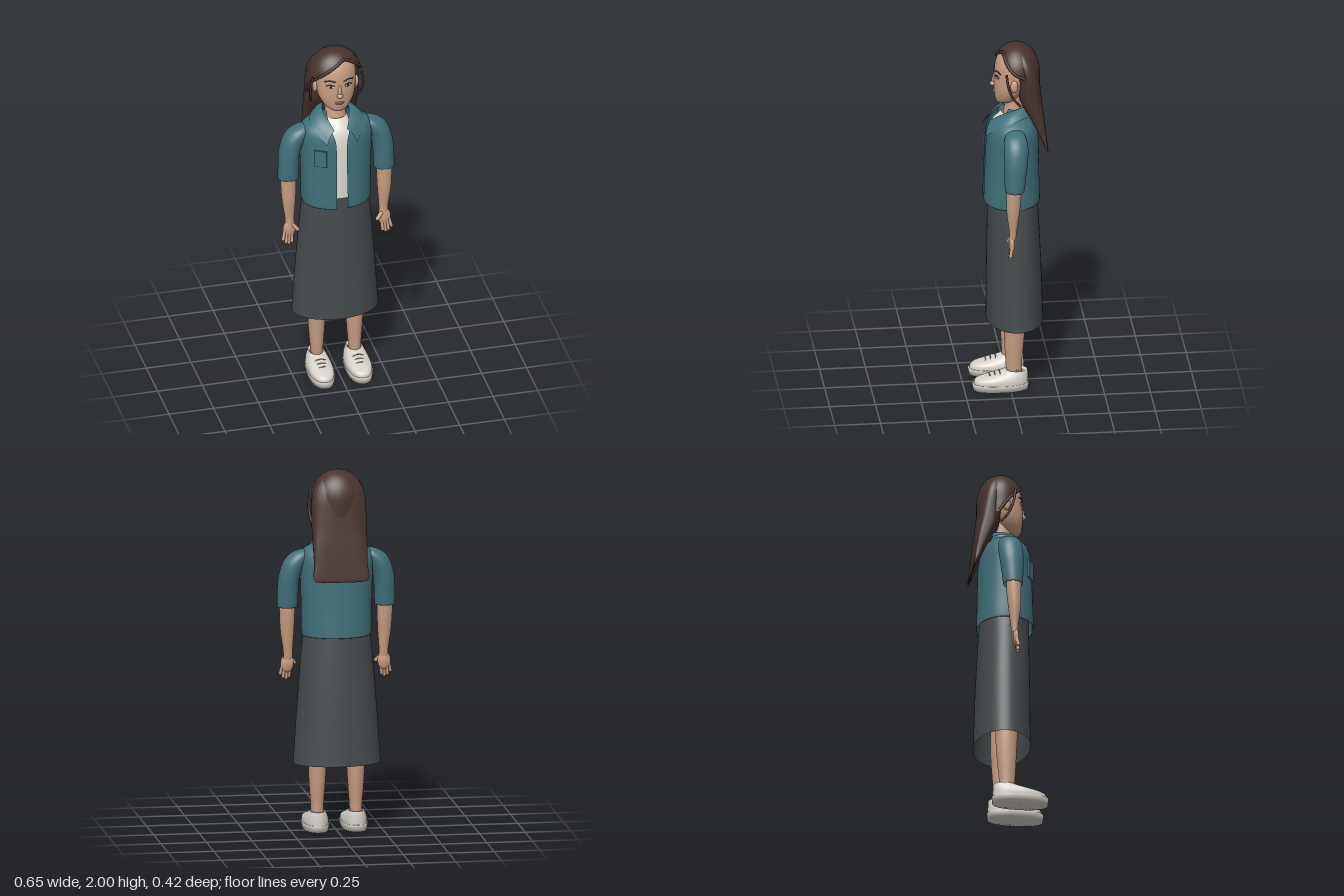
import * as THREE from 'three';

const mat = (name, color) => {
  const m = new THREE.MeshStandardMaterial({ color, side: THREE.DoubleSide });
  m.name = name;
  return m;
};
const V = (x, y, z) => new THREE.Vector3(x, y, z);
const spow = (v, p) => Math.sign(v) * Math.abs(v) ** p;

// Grid of points -> smooth surface; closed grids wrap around
function grid(rows, closed) {
  const w = rows[0].length, pos = [], idx = [];
  rows.forEach(r => r.forEach(p => pos.push(p.x, p.y, p.z)));
  for (let i = 0; i < rows.length - 1; i++)
    for (let j = 0; j < (closed ? w : w - 1); j++) {
      const a = i * w + j, b = i * w + (j + 1) % w;
      idx.push(a, b, a + w, b, b + w, a + w);
    }
  const g = new THREE.BufferGeometry();
  g.setAttribute('position', new THREE.Float32BufferAttribute(pos, 3));
  g.setIndex(idx);
  g.computeVertexNormals();
  return g;
}

// Catmull-Rom refinement of section rows
function refine(rows, k) {
  const out = [];
  for (let i = 0; i < rows.length - 1; i++)
    for (let s = 0; s < k; s++) {
      const t = s / k, a = rows[Math.max(i - 1, 0)], b = rows[i], c = rows[i + 1], d = rows[Math.min(i + 2, rows.length - 1)];
      out.push(b.map((v, q) => v + 0.5 * t * (c[q] - a[q] + t * (2 * a[q] - 5 * v + 4 * c[q] - d[q] + t * (3 * (v - c[q]) + d[q] - a[q])))));
    }
  out.push(rows[rows.length - 1]);
  return out;
}

// Sections, bottom to top: [y, centre x, half width, front z, back z, roundness, front gap]
function loft(rows, n = 40, k = 4) {
  const open = rows[0].length > 6;
  return grid(refine(rows, k).map(([y, cx, rx, zf, zb, p = 1, gap = 0]) => {
    const g = open ? Math.asin(Math.min(gap / rx, 0.95)) : 0;
    return Array.from({ length: open ? n + 1 : n }, (_, j) => {
      const t = g + (2 * Math.PI - 2 * g) * j / n;
      return V(cx + rx * spow(Math.sin(t), p), y, (zf + zb) / 2 + (zf - zb) / 2 * spow(Math.cos(t), p));
    });
  }), !open);
}

export function createModel() {
  const root = new THREE.Group();
  root.name = 'woman';
  const skin = mat('skin', 0xc79c80), hair = mat('hair', 0x46332d), teal = mat('jacket teal', 0x40707a);
  const grey = mat('skirt grey', 0x464b4d), white = mat('shirt white', 0xdedad2), shoeMat = mat('shoe white', 0xd6d2ca);
  const dark = mat('dark brown', 0x2a1f1c), eyeWhite = mat('eye white', 0xd8d0c8), lip = mat('lip', 0xb08070);
  const lace = mat('lace grey', 0x8c8a86);

  const add = (name, geo, m, parent = root) => {
    const mesh = new THREE.Mesh(geo, m);
    mesh.name = name;
    parent.add(mesh);
    return mesh;
  };
  const blob = (name, m, c, r, parent) => {
    const b = add(name, new THREE.SphereGeometry(1, 20, 14), m, parent);
    b.position.set(...c);
    b.scale.set(...r);
    return b;
  };
  const tube = (name, m, pts, r, parent) =>
    add(name, new THREE.TubeGeometry(new THREE.CatmullRomCurve3(pts), 32, r, 8), m, parent);
  const limb = (name, m, a, b, r, parent) => {
    const d = b.clone().sub(a);
    const c = add(name, new THREE.CapsuleGeometry(r, d.length(), 5, 10), m, parent);
    c.position.copy(a).add(b).multiplyScalar(0.5);
    c.quaternion.setFromUnitVectors(V(0, 1, 0), d.normalize());
  };

  // Clothes on the torso
  add('skirt', loft([[0.38, 0, 0.24, 0.12, -0.19], [0.7, 0, 0.218, 0.117, -0.18], [1.0, 0, 0.194, 0.113, -0.165], [1.14, 0, 0.178, 0.112, -0.155]], 56), grey);
  add('shirt', loft([[1.13, 0, 0.165, 0.107, -0.14], [1.3, 0, 0.17, 0.11, -0.14], [1.45, 0, 0.16, 0.108, -0.13],
    [1.53, 0, 0.13, 0.092, -0.12], [1.57, 0, 0.085, 0.065, -0.1], [1.6, 0, 0.062, 0.035, -0.09]]), white);
  add('jacket', loft([[1.09, 0, 0.184, 0.132, -0.168, 0.92, 0.028], [1.1, 0, 0.19, 0.137, -0.172, 0.92, 0.027], [1.25, 0, 0.192, 0.132, -0.168, 0.92, 0.024],
    [1.42, 0, 0.197, 0.125, -0.165, 0.92, 0.024], [1.5, 0, 0.2, 0.118, -0.158, 0.92, 0.028], [1.55, 0, 0.188, 0.1, -0.14, 0.95, 0.045],
    [1.585, 0, 0.14, 0.075, -0.12, 1, 0.055], [1.605, 0, 0.085, 0.04, -0.105, 1, 0.055], [1.635, 0, 0.072, 0.025, -0.095, 1, 0.055]], 64), teal);
  const pocket = add('pocket', new THREE.BoxGeometry(0.07, 0.1, 0.009), teal);
  pocket.position.set(-0.115, 1.4, 0.107);
  pocket.rotation.y = -0.5;

  // Folded collar: a strip between the neck fold and the outer edge
  const half = [[[0, 1.645, -0.1], [0.055, 1.642, -0.075], [0.073, 1.63, -0.02], [0.06, 1.605, 0.04], [0.035, 1.565, 0.1]],
    [[0, 1.595, -0.14], [0.095, 1.6, -0.105], [0.145, 1.59, -0.02], [0.14, 1.56, 0.05], [0.085, 1.492, 0.133]]];
  const [fold, edge] = half.map(h => new THREE.CatmullRomCurve3(
    [...h.slice(1).reverse().map(([x, y, z]) => V(-x, y, z)), ...h.map(p => V(...p))]).getPoints(48));
  add('collar', grid([0, 0.25, 0.5, 0.75, 1].map(s => edge.map((p, i) => {
    const q = p.clone().lerp(fold[i], s);
    q.y += 0.012 * Math.sin(Math.PI * s);
    return q;
  })), false), teal);

  // Arms and legs, mirrored
  for (const s of [1, -1]) {
    const side = new THREE.Group();
    side.name = s > 0 ? 'leftLimbs' : 'rightLimbs';
    root.add(side);
    const mx = rows => rows.map(([y, x, ...r]) => [y, s * x, ...r]);
    const P = (x, y, z) => V(s * x, y, z);
    add('sleeve', loft(mx([[1.24, 0.268, 0.054, 0.042, -0.058], [1.25, 0.268, 0.057, 0.045, -0.062], [1.32, 0.266, 0.057, 0.049, -0.07], [1.4, 0.26, 0.058, 0.05, -0.08],
      [1.48, 0.235, 0.062, 0.048, -0.085], [1.53, 0.2, 0.06, 0.036, -0.075], [1.555, 0.18, 0.03, 0.01, -0.05], [1.56, 0.175, 0.001, -0.02, -0.021]])), teal, side);
    add('arm', loft(mx([[0.95, 0.262, 0.026, 0.022, -0.014], [1.0, 0.263, 0.026, 0.022, -0.02], [1.1, 0.267, 0.037, 0.035, -0.033],
      [1.2, 0.268, 0.042, 0.037, -0.043], [1.3, 0.268, 0.043, 0.037, -0.045]]), 28), skin, side);
    blob('palm', skin, [s * 0.266, 0.925, 0.008], [0.036, 0.05, 0.016], side);
    [[0.29, 0.302, 0.868], [0.278, 0.286, 0.85], [0.264, 0.27, 0.843], [0.25, 0.254, 0.852]].forEach(([a, b, y]) =>
      limb('finger', skin, P(a, 0.92, 0.008), P(b, y, 0.018), 0.0095, side));
    limb('thumb', skin, P(0.25, 0.955, 0.012), P(0.224, 0.925, 0.024), 0.011, side);

    add('leg', loft(mx([[0.08, 0.106, 0.034, 0.02, -0.065], [0.14, 0.106, 0.035, 0.024, -0.064], [0.25, 0.106, 0.043, 0.03, -0.074],
      [0.38, 0.105, 0.05, 0.036, -0.082], [0.6, 0.102, 0.056, 0.05, -0.085], [0.95, 0.098, 0.07, 0.07, -0.1]]), 28), skin, side);
    add('shoe', loft(mx([[0.03, 0.106, 0.068, 0.198, -0.098, 0.85], [0.05, 0.106, 0.069, 0.196, -0.098, 0.85], [0.065, 0.106, 0.067, 0.18, -0.098, 0.85],
      [0.082, 0.106, 0.06, 0.125, -0.097, 0.85], [0.1, 0.106, 0.05, 0.06, -0.096, 0.9], [0.112, 0.106, 0.043, 0.026, -0.092, 1], [0.106, 0.106, 0.034, 0.015, -0.07, 1]])), shoeMat, side);
    add('sole', loft(mx([[0, 0.106, 0.001, 0.05, 0.049, 0.85], [0, 0.106, 0.068, 0.203, -0.1, 0.85], [0.036, 0.106, 0.073, 0.208, -0.103, 0.85], [0.038, 0.106, 0.065, 0.195, -0.095, 0.85]]), 40, 1), shoeMat, side);
    add('sock', new THREE.CylinderGeometry(0.037, 0.038, 0.02, 24), lace, side).position.set(s * 0.106, 0.107, -0.022);
    for (let i = 0; i < 3; i++) {
      const z = 0.058 + i * 0.027;
      tube('lace', lace, [-0.034, -0.017, 0, 0.017, 0.034].map(x => P(0.106 + x, 0.104 - i * 0.0085 - 9 * x * x, z)), 0.003, side);
    }
  }

  // Head and face
  const head = new THREE.Group();
  head.name = 'head';
  root.add(head);
  add('neck', loft([[1.53, 0, 0.075, 0.03, -0.09], [1.59, 0, 0.06, 0.027, -0.085], [1.65, 0, 0.054, 0.015, -0.085], [1.74, 0, 0.056, 0.01, -0.09]]), skin, head);
  add('face', loft([[1.654, 0, 0.001, 0.031, 0.03], [1.658, 0, 0.028, 0.056, 0], [1.67, 0, 0.052, 0.067, -0.035], [1.695, 0, 0.076, 0.073, -0.06], [1.735, 0, 0.097, 0.077, -0.09],
    [1.78, 0, 0.108, 0.078, -0.12], [1.83, 0, 0.112, 0.075, -0.135], [1.88, 0, 0.111, 0.071, -0.135], [1.93, 0, 0.095, 0.054, -0.12], [1.97, 0, 0.055, 0.015, -0.08], [1.98, 0, 0.001, -0.03, -0.031]]), skin, head);
  blob('nose', skin, [0, 1.768, 0.08], [0.017, 0.014, 0.02], head);
  blob('noseBridge', skin, [0, 1.795, 0.074], [0.011, 0.036, 0.014], head).rotation.x = -0.15;
  blob('upperLip', lip, [0, 1.723, 0.074], [0.026, 0.005, 0.009], head);
  blob('lowerLip', lip, [0, 1.714, 0.073], [0.022, 0.006, 0.009], head);
  for (const s of [1, -1]) {
    blob('eyeWhite', eyeWhite, [s * 0.049, 1.823, 0.065], [0.02, 0.009, 0.005], head).rotation.y = s * 0.35;
    blob('iris', dark, [s * 0.048, 1.823, 0.068], [0.0085, 0.0085, 0.004], head).rotation.y = s * 0.35;
    tube('lashLine', dark, [P3(s, 0.028, 1.825, 0.073), P3(s, 0.048, 1.833, 0.068), P3(s, 0.071, 1.826, 0.057)], 0.0028, head);
    tube('brow', hair, [P3(s, 0.022, 1.85, 0.072), P3(s, 0.05, 1.858, 0.065), P3(s, 0.078, 1.85, 0.049)], 0.0035, head);
    blob('ear', skin, [s * 0.115, 1.79, -0.022], [0.014, 0.036, 0.021], head);
    tube('looseStrand', hair, [P3(s, 0.135, 1.87, 0.022), P3(s, 0.146, 1.8, 0.012), P3(s, 0.142, 1.73, -0.015), P3(s, 0.13, 1.68, -0.055)], 0.007, head);
  }

  // Hair: cap with a side parting, rolled hairline, long wedge at the back
  const line = new THREE.CubicInterpolant([-180, -120, -95, -75, -50, -20, 18, 32, 55, 80, 105, 125, 180],
    [1.76, 1.72, 1.74, 1.81, 1.865, 1.918, 1.962, 1.957, 1.92, 1.868, 1.84, 1.78, 1.76], 1);
  const capPoint = (deg, s, lift = 0) => {
    const h = line.evaluate(deg)[0], e0 = Math.asin((h - 1.84) / 0.16), e = e0 + (Math.PI / 2 - e0) * s;
    const a = deg * Math.PI / 180, c = Math.cos(Math.max(e, 0)), rx = deg < 0 ? 0.152 : 0.147;
    return V((rx + lift) * c * Math.sin(a), 1.84 + 0.16 * Math.sin(e), -0.045 + (0.128 + lift) * c * Math.cos(a));
  };
  add('hairCap', grid(Array.from({ length: 17 }, (_, i) => Array.from({ length: 73 }, (_, j) => capPoint(-180 + j * 5, i / 16))), false), hair, head);
  tube('hairlineRight', hair, [-100, -75, -50, -25, 0, 22].map(d => capPoint(d, 0.02)), 0.009, head);
  tube('hairlineLeft', hair, [22, 40, 60, 80, 105].map(d => capPoint(d, 0.02)), 0.009, head);
  add('backHair', loft([[1.41, 0, 0.001, -0.2, -0.201, 0.4], [1.41, 0, 0.143, -0.197, -0.207, 0.4], [1.5, 0, 0.146, -0.155, -0.199, 0.45], [1.6, 0, 0.148, -0.105, -0.189, 0.5],
    [1.68, 0, 0.149, -0.06, -0.18, 0.6], [1.78, 0, 0.149, -0.045, -0.17, 0.75], [1.86, 0, 0.146, -0.03, -0.162, 0.9], [1.92, 0, 0.127, -0.02, -0.145, 1],
    [1.97, 0, 0.08, -0.03, -0.1, 1], [1.99, 0, 0.001, -0.05, -0.051, 1]], 64, 3), hair, head);
  return root;
}

// Mirrored point helper
function P3(s, x, y, z) {
  return V(s * x, y, z);
}
